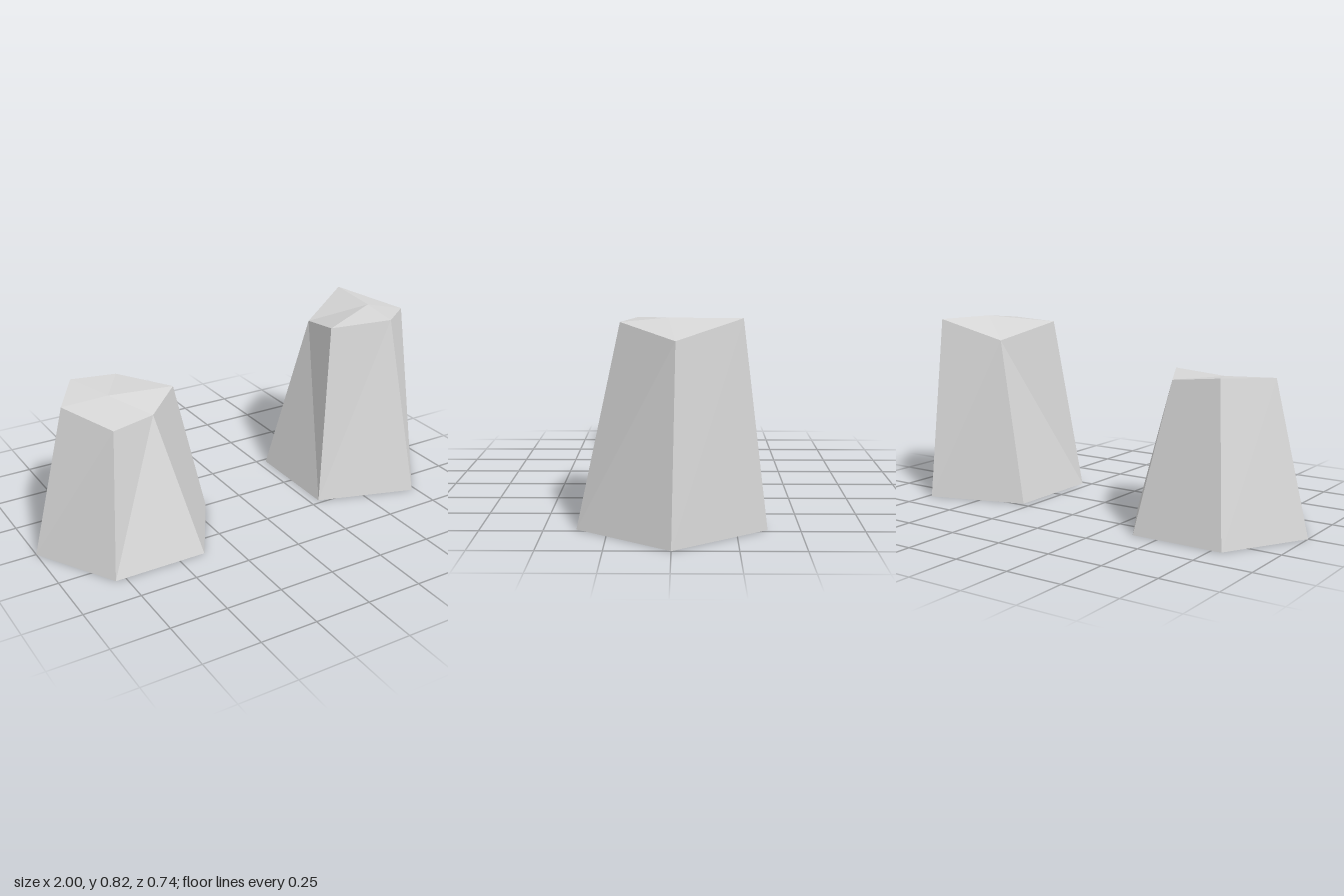
import * as THREE from 'three';

const stone = new THREE.MeshStandardMaterial({ color: 0xd5d5d5, flatShading: true, side: THREE.DoubleSide });
stone.name = 'pale grey stone';

// Ring of ground points on a regular polygon, counter-clockwise seen from above
function groundRing(cx, radius, sides) {
  return Array.from({ length: sides }, (_, i) => {
    const a = (i / sides) * Math.PI * 2;
    return [cx + radius * Math.cos(a), 0, -radius * Math.sin(a)];
  });
}

// Tapered, hollow rock: side walls between two rings and a fan of facets on top.
// flipped is the wall whose diagonal runs the other way.
function rock(name, base, rim, peak, flipped) {
  const points = [];
  base.forEach((b0, i) => {
    const j = (i + 1) % base.length;
    const b1 = base[j], t0 = rim[i], t1 = rim[j];
    if (i === flipped) points.push(b0, b1, t0, b1, t1, t0);
    else points.push(b0, b1, t1, b0, t1, t0);
    points.push(t0, t1, peak);
  });
  const geometry = new THREE.BufferGeometry();
  geometry.setAttribute('position', new THREE.Float32BufferAttribute(points.flat(), 3));
  geometry.computeVertexNormals();
  const mesh = new THREE.Mesh(geometry, stone);
  mesh.name = name;
  return mesh;
}

export function createModel() {
  const group = new THREE.Group();
  group.name = 'rocks';

  // Low six-sided rock with a slightly sunken top
  group.add(rock('lowRock', groundRing(-0.589, 0.411, 6), [
    [-0.348, 0.647, 0.037], [-0.49, 0.638, -0.232], [-0.705, 0.66, -0.225],
    [-0.84, 0.647, 0], [-0.713, 0.602, 0.227], [-0.505, 0.598, 0.16],
  ], [-0.62, 0.64, -0.027], 5));

  // Tall five-sided rock with a slanted top
  group.add(rock('tallRock', groundRing(0.609, 0.391, 5), [
    [0.914, 0.757, -0.015], [0.727, 0.824, -0.271], [0.475, 0.73, -0.155],
    [0.393, 0.8, 0.14], [0.68, 0.805, 0.199],
  ], [0.69, 0.823, 0.013], 2));

  return group;
}
